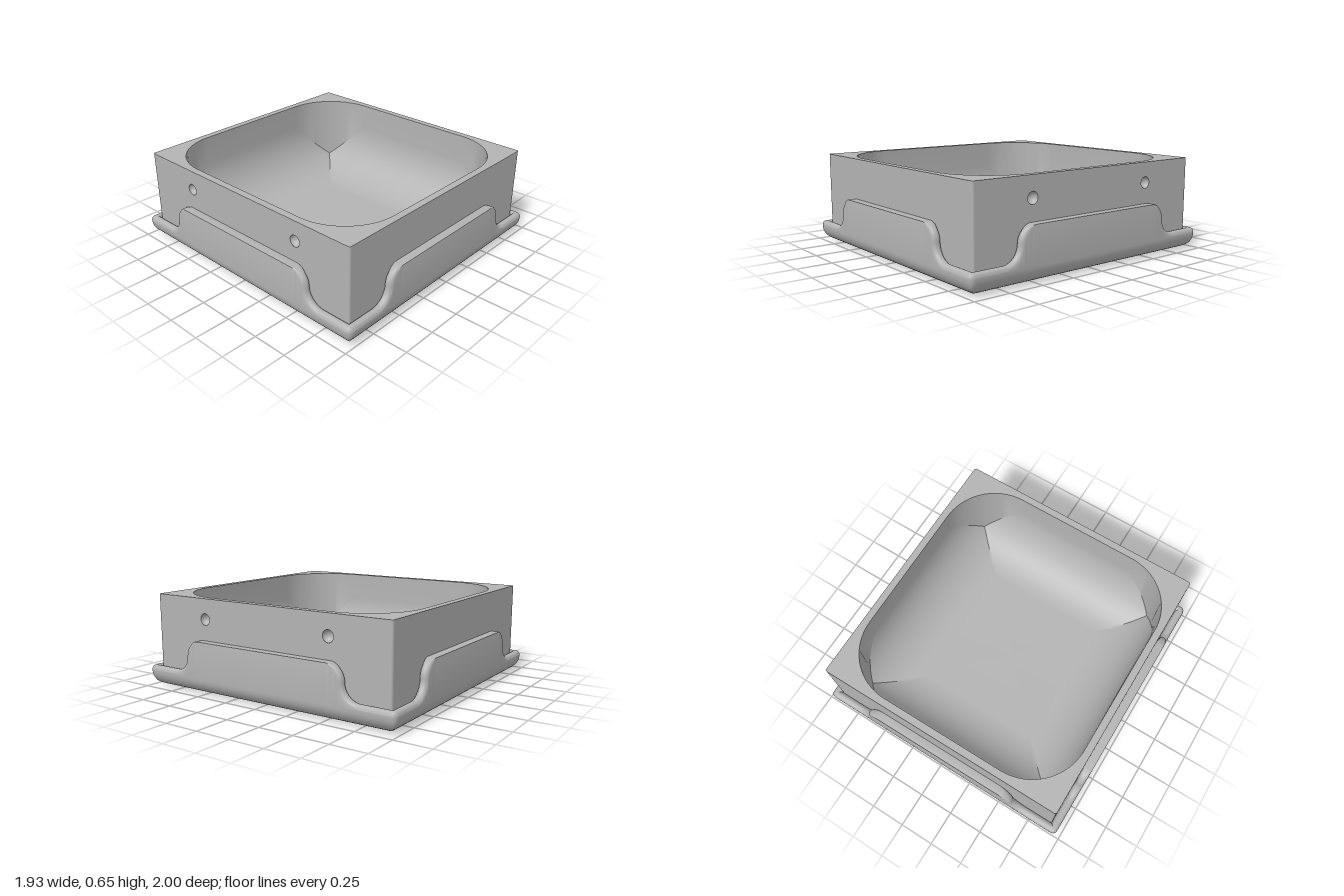
import * as THREE from 'three';
import { toCreasedNormals } from 'three/addons/utils/BufferGeometryUtils.js';

const grey = new THREE.MeshStandardMaterial({ color: 0xb3b3b3, side: THREE.DoubleSide });
grey.name = 'plainGrey';

const TOP = 0.65, BLOCK = [0.905, 0.94], SHELL = [0.965, 1.0], EDGE = 0.015;

function add(parent, name, geometry) {
  const mesh = new THREE.Mesh(geometry, grey);
  mesh.name = name;
  parent.add(mesh);
  return mesh;
}

// Surface through a list of columns, each a list of [x, y, z]
function loft(columns, crease = 0.55) {
  const m = columns[0].length, index = [];
  for (let u = 0; u < columns.length - 1; u++) {
    for (let v = 0; v < m - 1; v++) {
      const a = u * m + v, c = a + m;
      index.push(a, a + 1, c, c, a + 1, c + 1);
    }
  }
  const g = new THREE.BufferGeometry();
  g.setAttribute('position', new THREE.Float32BufferAttribute(columns.flat(2), 3));
  g.setIndex(index);
  return toCreasedNormals(g, crease);
}

// Outline of a rounded rectangle, each point with its corner centre
function roundedRect(hx, hz, r, segs) {
  const pts = [];
  [[1, 1], [-1, 1], [-1, -1], [1, -1]].forEach(([sx, sz], q) => {
    const cx = sx * (hx - r), cz = sz * (hz - r);
    for (let i = 0; i <= segs; i++) {
      const a = (q + i / segs) * Math.PI / 2;
      pts.push({ x: cx + r * Math.cos(a), z: cz + r * Math.sin(a), cx, cz });
    }
  });
  return pts;
}
const toVectors = (pts) => pts.map((p) => new THREE.Vector2(p.x, p.z));

// Bowl: upright rounded walls meeting mitred, coved lower edges
const BOWL = { hx: 0.855, hz: 0.89, r: 0.4, floor: 0.055 };
function bowlGeometry(outline) {
  const { hx, hz, r, floor } = BOWL, steps = 14;
  const height = (x, z) => {
    const k = Math.max(0, r - Math.min(hx - Math.abs(x), hz - Math.abs(z)));
    return floor + r - Math.sqrt(Math.max(0, r * r - k * k));
  };
  const columns = [...outline, outline[0]].map((p) => {
    const column = [[p.x, TOP, p.z]];
    for (let i = 0; i <= steps; i++) {
      const t = 1 - Math.cos(i / steps * Math.PI / 2);
      const x = p.x + (p.cx - p.x) * t, z = p.z + (p.cz - p.z) * t;
      column.push([x, height(x, z), z]);
    }
    column.push([0, floor, 0]);
    return column;
  });
  return loft(columns);
}

// Flat block wall facing +z, with optional round holes
function wallGeometry(half, holes) {
  const w = half - EDGE, s = new THREE.Shape();
  s.moveTo(-w, 0.08).lineTo(w, 0.08).lineTo(w, TOP).lineTo(-w, TOP).closePath();
  for (const [x, y, r] of holes) {
    s.holes.push(new THREE.Path().absarc(x, y, r, 0, Math.PI * 2, true));
  }
  return new THREE.ShapeGeometry(s, 24);
}

// Rim line from a panel's end: low lip, S-curve, raised tab
function rimPath() {
  const path = [], R = 0.11, n = 10;
  for (const e of [0, 0.004, 0.009, 0.015, 0.021, 0.028, 0.035, 0.06, 0.085, 0.11, 0.18]) {
    path.push({ e, y: 0.145, ne: 0, ny: -1, r: 0.03 });
  }
  for (let i = 0; i <= n; i++) {
    const a = i / n * Math.PI / 2, sn = Math.sin(a), cs = Math.cos(a);
    path.push({ e: 0.255 + R * sn, y: 0.255 - R * cs, ne: sn, ny: -cs, r: 0.03 });
  }
  for (let i = 1; i <= n; i++) {
    const a = i / n * Math.PI / 2, sn = Math.sin(a), cs = Math.cos(a);
    path.push({ e: 0.475 - R * cs, y: 0.255 + R * sn, ne: cs, ny: -sn, r: 0.03 * Math.min(1, 2 * (1 - i / n)) });
  }
  return path;
}

// Shell side facing +z: rounded rim, flat face, rounded foot, mitred ends
function panelGeometry(half, dist) {
  const thick = 0.06, foot = 0.11, corner = 0.035, n = 6;
  const place = (e, y, inset, sign) => {
    let ee = Math.max(e, inset), ii = inset;
    if (ee < corner && ii < corner) {
      const k = (corner - ii) / Math.hypot(corner - ee, corner - ii);
      ee = corner - (corner - ee) * k;
      ii = corner - (corner - ii) * k;
    }
    return [sign * (half - ee), y, dist - ii];
  };
  const column = (p, sign) => {
    const rows = [];
    const rim = (inset, off) => rows.push(place(p.e + p.ne * off, p.y + p.ny * off, inset, sign));
    for (let i = 0; i <= n; i++) {
      const a = i / n * Math.PI / 2;
      rim(thick - p.r * (1 - Math.cos(a)), p.r * (1 - Math.sin(a)));
    }
    for (let i = n; i >= 0; i--) {
      const a = i / n * Math.PI / 2;
      rim(p.r * (1 - Math.cos(a)), p.r * (1 - Math.sin(a)));
    }
    for (let i = 0; i <= 10; i++) {
      const b = i / 10 * Math.PI / 2;
      rows.push(place(p.e + p.ne * p.r, foot * (1 - Math.sin(b)), foot * (1 - Math.cos(b)), sign));
    }
    return rows;
  };
  const path = rimPath();
  return loft([...path.map((p) => column(p, -1)), ...path.reverse().map((p) => column(p, 1))]);
}

export function createModel() {
  const model = new THREE.Group();
  model.name = 'trayInShell';

  // Inner block with its bowl
  const block = new THREE.Group();
  block.name = 'block';
  model.add(block);
  const opening = roundedRect(BOWL.hx, BOWL.hz, BOWL.r, 20);
  add(block, 'bowl', bowlGeometry(opening));
  const rim = new THREE.Shape(toVectors(roundedRect(BLOCK[0], BLOCK[1], EDGE, 5)));
  rim.holes.push(new THREE.Path(toVectors(opening)));
  const top = add(block, 'topFace', new THREE.ShapeGeometry(rim));
  top.rotation.x = -Math.PI / 2;
  top.position.y = TOP;

  // Rounded upright edges of the block
  [[1, 1], [1, -1], [-1, -1], [-1, 1]].forEach(([sx, sz], q) => {
    const h = TOP - 0.08;
    const edge = add(block, 'blockEdge',
      new THREE.CylinderGeometry(EDGE, EDGE, h, 5, 1, true, q * Math.PI / 2, Math.PI / 2));
    edge.position.set(sx * (BLOCK[0] - EDGE), 0.08 + h / 2, sz * (BLOCK[1] - EDGE));
  });

  // Four sides: block wall and shell panel, dimples on the x sides
  const shell = new THREE.Group();
  shell.name = 'shell';
  model.add(shell);
  for (let q = 0; q < 4; q++) {
    const along = q % 2, out = 1 - along, turn = q * Math.PI / 2;
    const holes = along ? [[-0.5, 0.51, 0.04], [0.5, 0.51, 0.04]] : [];
    const side = new THREE.Group();
    side.name = 'blockSide';
    side.rotation.y = turn;
    block.add(side);
    add(side, 'wall', wallGeometry(BLOCK[along], holes)).position.z = BLOCK[out];
    for (const [x, y, r] of holes) {
      const cup = new THREE.SphereGeometry(r, 24, 8, 0, Math.PI * 2, 0, Math.PI / 2).rotateX(-Math.PI / 2);
      add(side, 'dimple', cup).position.set(x, y, BLOCK[out]);
    }
    add(shell, 'shellPanel', panelGeometry(SHELL[along], SHELL[out])).rotation.y = turn;
  }

  // Underside
  const base = add(shell, 'base', new THREE.PlaneGeometry(2 * (SHELL[0] - 0.11), 2 * (SHELL[1] - 0.11)));
  base.rotation.x = Math.PI / 2;
  return model;
}
